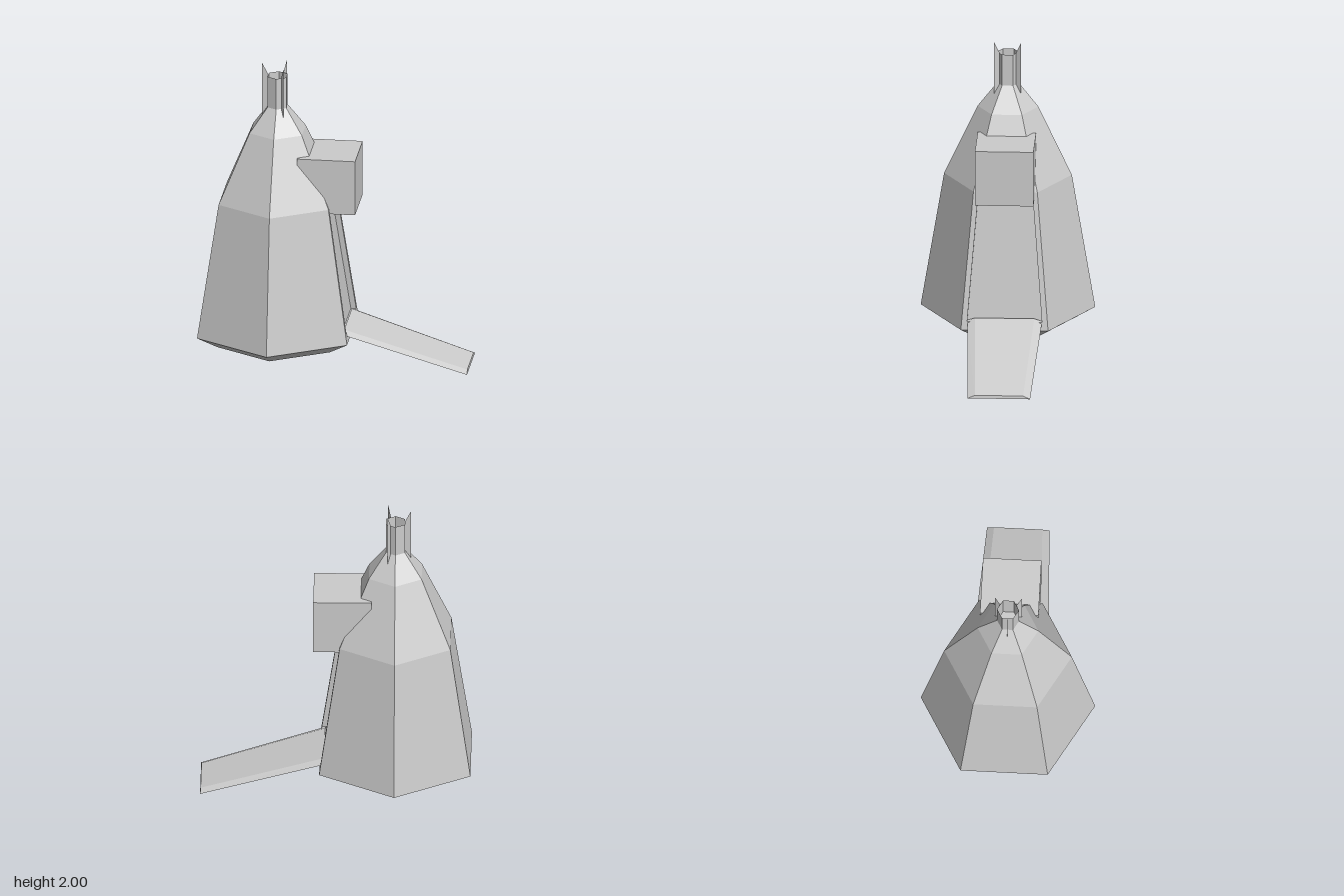
import * as THREE from 'three';

const CX = -0.385; // axis of the hexagonal hull

const makeMaterial = () => new THREE.MeshStandardMaterial({
  color: 0xcccccc, flatShading: true, side: THREE.DoubleSide,
});

// Mesh from planar quads, each with corners counter-clockwise from outside
function quadMesh(name, quads) {
  const pos = [];
  for (const [a, b, c, d] of quads) pos.push(...a, ...b, ...c, ...a, ...c, ...d);
  const geo = new THREE.BufferGeometry();
  geo.setAttribute('position', new THREE.Float32BufferAttribute(pos, 3));
  geo.computeVertexNormals();
  const mesh = new THREE.Mesh(geo, makeMaterial());
  mesh.name = name;
  return mesh;
}

// Hexagon ring with corners on the z axis and flat sides facing +x and -x
const ring = (r, y) => Array.from({ length: 6 }, (_, k) => {
  const a = Math.PI / 6 + k * Math.PI / 3;
  return [CX + r * Math.cos(a), y, r * Math.sin(a)];
});

const sideQuad = (low, high, k) => {
  const n = (k + 1) % 6;
  return [low[n], low[k], high[k], high[n]];
};

// Two quads that close a ring, facing up or down
const capQuads = (p, up) => {
  const quads = [[p[0], p[5], p[4], p[3]], [p[0], p[3], p[2], p[1]]];
  return up ? quads : quads.map((q) => q.reverse());
};

export function createModel() {
  const model = new THREE.Group();

  // Hull: stacked hexagons, leaving out the side that holds the doorway
  const levels = [[0.42, 0.115], [0.56, 0.195], [0.41, 1.09], [0.195, 1.55], [0.07, 1.71]]
    .map(([r, y]) => ring(r, y));
  const hull = [...capQuads(levels[0], false), ...capQuads(levels[4], true)];
  for (let i = 0; i < 4; i++) {
    for (let k = 0; k < 6; k++) {
      if (i !== 1 || k !== 5) hull.push(sideQuad(levels[i], levels[i + 1], k));
    }
  }
  model.add(quadMesh('hull', hull));

  // Doorway: frame in the sloping side, recess walls and back panel
  const slopeX = (y) => 0.1 - (y - 0.195) * 0.145;
  const opening = (depth) => [[0.25, 0.24], [0.25, -0.24], [1.07, -0.175], [1.07, 0.175]]
    .map(([y, z]) => [slopeX(y) - depth, y, z]);
  const outer = [levels[1][0], levels[1][5], levels[2][5], levels[2][0]];
  const rim = opening(0);
  const back = opening(0.035);
  const frame = [];
  const recess = [back];
  for (let k = 0; k < 4; k++) {
    const n = (k + 1) % 4;
    frame.push([outer[k], outer[n], rim[n], rim[k]]);
    recess.push([rim[k], rim[n], back[n], back[k]]);
  }
  model.add(quadMesh('doorFrame', frame), quadMesh('doorRecess', recess));

  // Lowered ramp: thin tapering slab with bevelled long edges
  const under = [[0.065, 0.25, 0.24], [0.865, 0, 0.2], [0.865, 0, -0.2], [0.065, 0.25, -0.24]];
  const top = [[0.07, 0.268, 0.19], [0.862, 0.02, 0.155], [0.862, 0.02, -0.155], [0.07, 0.268, -0.19]];
  const ramp = [top, [...under].reverse()];
  for (let k = 0; k < 4; k++) {
    const n = (k + 1) % 4;
    ramp.push([under[k], under[n], top[n], top[k]]);
  }
  model.add(quadMesh('ramp', ramp));

  // Box cabin above the doorway
  const cabin = new THREE.Mesh(new THREE.BoxGeometry(0.375, 0.367, 0.375), makeMaterial());
  cabin.position.set(-0.0475, 1.239, 0);
  cabin.name = 'cabin';
  model.add(cabin);

  // Open hexagonal neck
  const neckTop = ring(0.07, 1.92);
  model.add(quadMesh('neck', neckTop.map((_, k) => sideQuad(levels[4], neckTop, k))));

  // Three thin fins around the neck
  const finShape = new THREE.Shape([[0.06, 1.71], [0.1, 1.65], [0.1, 2], [0.06, 1.92]]
    .map(([x, y]) => new THREE.Vector2(x, y)));
  const finGeometry = new THREE.ShapeGeometry(finShape);
  for (let i = 0; i < 3; i++) {
    const fin = new THREE.Mesh(finGeometry, makeMaterial());
    fin.position.x = CX;
    fin.rotation.y = Math.PI / 3 + i * Math.PI * 2 / 3;
    fin.name = 'neckFin';
    model.add(fin);
  }

  return model;
}
